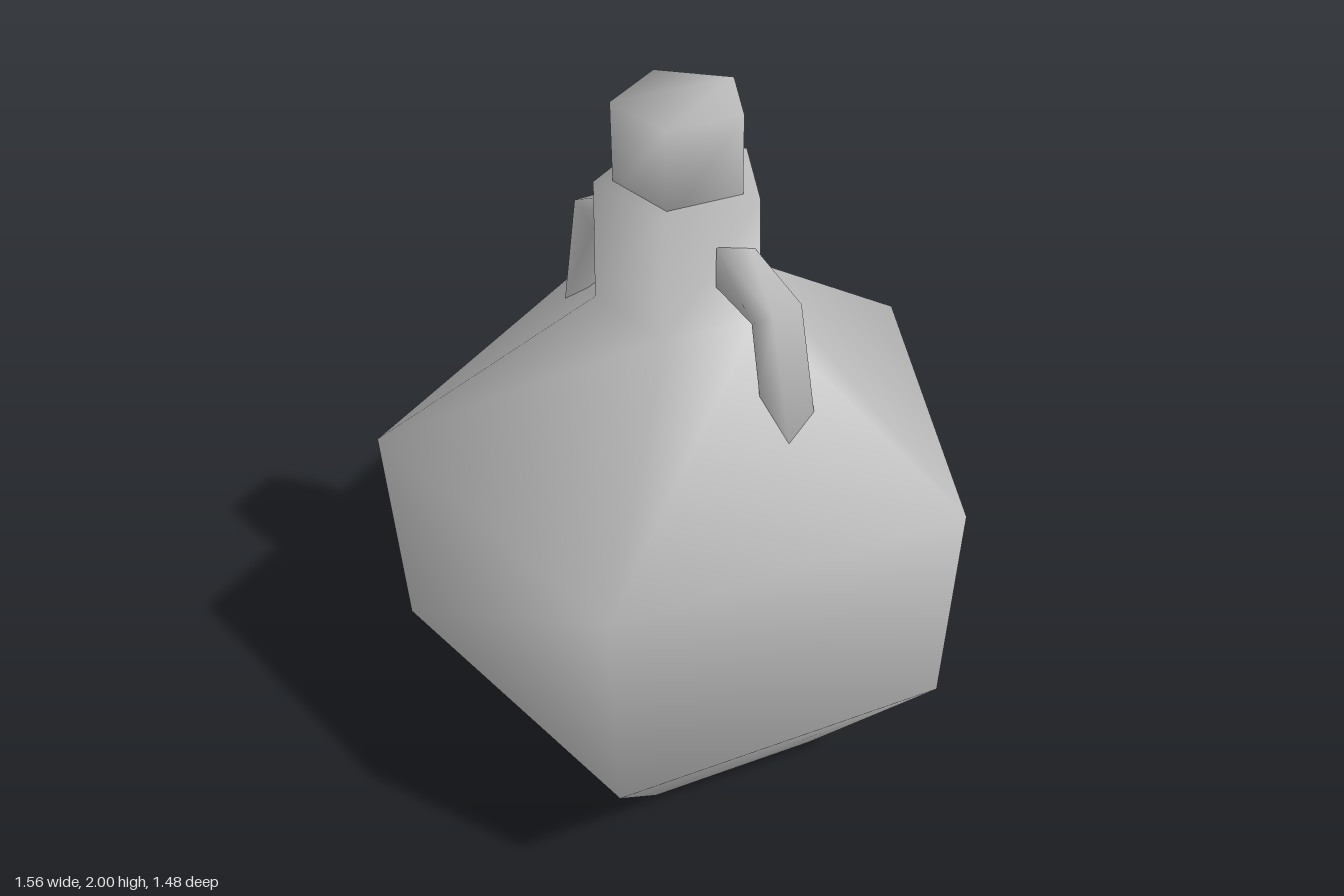
import * as THREE from 'three';

const CZ = 0.08; // depth of the jug's axis

// Skin a list of equal rings, counterclockwise seen from the far end, with closed ends
function loft(rings) {
  const n = rings[0].length, last = (rings.length - 1) * n, index = [];
  for (let r = 0; r < rings.length - 1; r++) {
    for (let i = 0; i < n; i++) {
      const a = r * n + i, b = r * n + (i + 1) % n;
      index.push(a, b, b + n, a, b + n, a + n);
    }
  }
  for (let i = 1; i < n - 1; i++) {
    index.push(0, i + 1, i);
    index.push(last, last + i, last + i + 1);
  }
  const geo = new THREE.BufferGeometry();
  geo.setAttribute('position', new THREE.Float32BufferAttribute(rings.flat(2), 3));
  geo.setIndex(index);
  geo.computeVertexNormals();
  return geo;
}

// Five-sided ring with one corner pointing to the back
function pentagon(radius, y) {
  return Array.from({ length: 5 }, (_, k) => {
    const t = Math.PI + k * Math.PI * 2 / 5;
    return [radius * Math.sin(t), y, CZ + radius * Math.cos(t)];
  });
}

export function createModel() {
  const group = new THREE.Group();
  const clay = new THREE.MeshStandardMaterial({ color: 0xc0c0c0 });
  clay.name = 'grey clay';

  const add = (name, geo) => {
    const mesh = new THREE.Mesh(geo, clay);
    mesh.name = name;
    group.add(mesh);
  };

  // Body and neck: [radius, height]
  const profile = [[0.42, 0], [0.795, 0.42], [0.82, 1.05], [0.225, 1.46], [0.217, 1.79]];
  add('body', loft(profile.map(([r, y]) => pentagon(r, y))));

  // Stopper
  add('stopper', loft([pentagon(0.17, 1.75), pentagon(0.17, 2)]));

  // Handles: outer and inner edge of each section, [outerX, outerY, innerX, innerY]
  const sections = [
    [0.175, 1.685, 0.175, 1.575],
    [0.375, 1.585, 0.302, 1.53],
    [0.442, 1.245, 0.335, 1.33],
  ];
  const front = 0.127, back = 0.026;
  for (const side of [1, -1]) {
    const rings = sections.map(([ox, oy, ix, iy]) => {
      const ring = [
        [side * ox, oy, front], [side * ix, iy, front],
        [side * ix, iy, back], [side * (ox - 0.006), oy - 0.01, back],
      ];
      return side > 0 ? ring : ring.reverse();
    });
    add(side > 0 ? 'leftHandle' : 'rightHandle', loft(rings));
  }

  return group;
}
